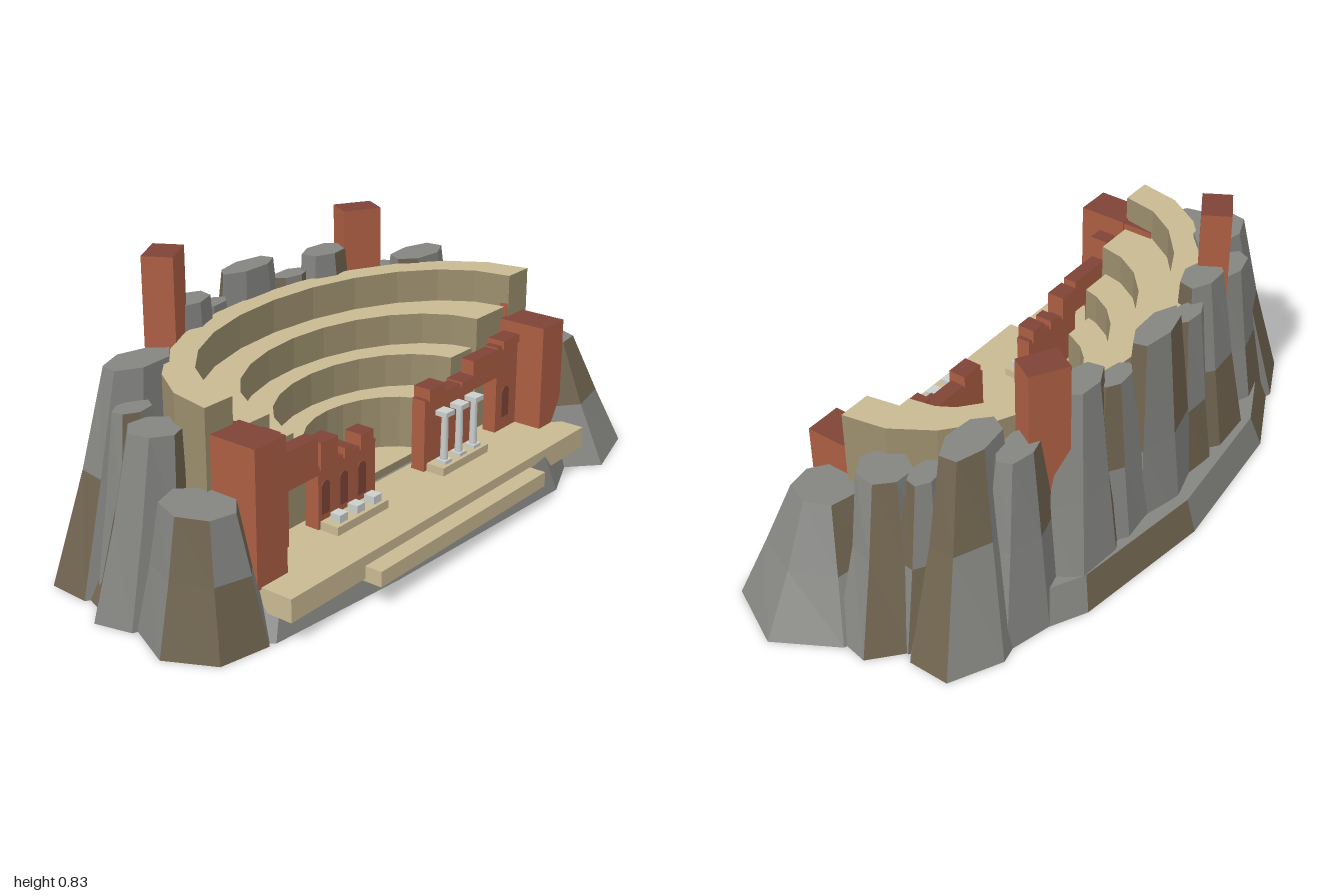
import * as THREE from 'three';

const mat = (name, color) => {
  const m = new THREE.MeshStandardMaterial({ color });
  m.name = name;
  return m;
};

export function createModel() {
  const group = new THREE.Group();
  const sand = mat('sandstone', 0xc9b993);
  const wallStone = mat('weathered sandstone', 0x9b8e6d);
  const brick = mat('brick', 0xac5e43);
  const darkBrick = mat('dark brick', 0x7f4437);
  const grey = mat('grey rock', 0x848481);
  const brown = mat('brown rock', 0x70644f);
  const marble = mat('marble', 0xcbcfcc);
  const brickwork = [brick, brick, darkBrick, brick, brick, brick]; // dark upper face
  const CX = -0.05; // axis of the seating bowl

  let seed = 11;
  const rand = () => (seed = (seed * 16807) % 2147483647) / 2147483647;

  const add = (name, geometry, material) => {
    const mesh = new THREE.Mesh(geometry, material);
    mesh.name = name;
    group.add(mesh);
    return mesh;
  };
  // box given by its minimum and maximum corners
  const box = (name, m, x0, x1, y0, y1, z0, z1) => {
    const mesh = add(name, new THREE.BoxGeometry(x1 - x0, y1 - y0, z1 - z0), m);
    mesh.position.set((x0 + x1) / 2, (y0 + y1) / 2, (z0 + z1) / 2);
    return mesh;
  };

  // faceted loft through rings of points, with brown patches on its sides
  const loft = (name, rings) => {
    const pos = [];
    const geo = new THREE.BufferGeometry();
    const n = rings[0].length;
    const put = (material, ...pts) => {
      geo.addGroup(pos.length / 3, pts.length, material);
      pts.forEach((p) => pos.push(p.x, p.y, p.z));
    };
    for (let i = 0; i < rings.length - 1; i++) {
      for (let k = 0; k < n; k++) {
        const a = rings[i][k], b = rings[i][(k + 1) % n];
        const c = rings[i + 1][(k + 1) % n], d = rings[i + 1][k];
        put(rand() < 0.32 ? 1 : 0, a, d, c, a, c, b);
      }
    }
    const cap = (ring, top) => {
      const mid = ring.reduce((s, p) => s.add(p), new THREE.Vector3()).divideScalar(n);
      ring.forEach((p, k) => {
        const q = ring[(k + 1) % n];
        if (top) put(0, mid, q, p);
        else put(1, mid, p, q);
      });
    };
    cap(rings[0], false);
    cap(rings[rings.length - 1], true);
    geo.setAttribute('position', new THREE.Float32BufferAttribute(pos, 3));
    geo.computeVertexNormals();
    add(name, geo, [grey, brown]);
  };

  // tapered rock column: top centre, height, top radii, base centre, base radii;
  // the first corner points away from the bowl
  const rock = ([x, z, y, rx, rz, bx, bz, brx, brz]) => {
    const bend = 0.48 + rand() * 0.1;
    const start = Math.atan2(bz - 0.22, bx - CX);
    const rings = [[0, 0], [bend, bend + 0.05], [1, 1]].map(([h, t]) => Array.from({ length: 7 }, (_, k) => {
      const a = start + (k / 7) * Math.PI * 2;
      const j = k === 0 ? 1 : 0.92 + rand() * 0.14;
      const mix = (p, q) => p + (q - p) * t;
      return new THREE.Vector3(
        mix(bx, x) + Math.cos(a) * mix(brx, rx) * j, y * h,
        mix(bz, z) + Math.sin(a) * mix(brz, rz) * j);
    }));
    loft('rockColumn', rings);
  };

  // low rock base
  const outline = [[-0.05, -0.485], [0.4, -0.42], [0.73, -0.25], [0.85, 0], [0.82, 0.3],
    [0.45, 0.46], [-0.3, 0.43], [-0.75, 0.39], [-0.9, 0.2], [-0.92, -0.05], [-0.84, -0.28], [-0.51, -0.44]];
  loft('rockBase', [[1, 0], [0.94, 0.11]].map(([s, y]) =>
    outline.map(([x, z]) => new THREE.Vector3(x * s, y, z * s))));

  // rock columns around the back, repeated on both sides of the bowl
  rock([-0.045, -0.325, 0.675, 0.115, 0.045, -0.05, -0.335, 0.2, 0.1]);
  const sideRocks = [
    [0.13, -0.31, 0.61, 0.07, 0.035, 0.14, -0.33, 0.14, 0.095],
    [0.255, -0.28, 0.66, 0.085, 0.052, 0.3, -0.3, 0.18, 0.13],
    [0.47, -0.24, 0.56, 0.09, 0.05, 0.51, -0.25, 0.18, 0.12],
    [0.56, -0.155, 0.605, 0.11, 0.06, 0.65, -0.19, 0.21, 0.15],
    [0.66, -0.08, 0.52, 0.06, 0.04, 0.7, -0.08, 0.12, 0.1],
    [0.69, 0.03, 0.505, 0.075, 0.075, 0.735, 0.0, 0.17, 0.13],
  ];
  for (const r of sideRocks) {
    rock(r);
    rock(r.map((v, i) => (i === 0 ? 2 * CX - v : i === 5 ? -0.07 - v : v)));
  }
  rock([0.72, 0.225, 0.365, 0.085, 0.09, 0.75, 0.22, 0.25, 0.25]);
  rock([-0.83, 0.22, 0.365, 0.09, 0.11, -0.81, 0.22, 0.18, 0.18]);

  // stepped half-elliptical seating: radii, top, front end
  const tiers = [[0.72, 0.47, 0.59, 0.187], [0.62, 0.4, 0.49, 0.175], [0.47, 0.325, 0.395, 0.16],
    [0.36, 0.26, 0.295, 0.147], [0.25, 0.2, 0.135, 0.14]];
  const SEG = 12;
  const arc = ([rx, rz], endZ) => Array.from({ length: SEG + 1 }, (_, i) => {
    const a = (i / SEG) * Math.PI;
    return new THREE.Vector2(CX + Math.cos(a) * rx, i % SEG ? Math.sin(a) * rz - 0.18 : -endZ);
  });
  tiers.forEach((t, i) => {
    const pts = arc(t, t[3]);
    if (i < tiers.length - 1) pts.push(...arc(tiers[i + 1], t[3]).reverse());
    const geo = new THREE.ExtrudeGeometry(new THREE.Shape(pts), { depth: t[2] - 0.05, bevelEnabled: false });
    geo.rotateX(-Math.PI / 2).translate(0, 0.05, 0);
    add(i < 4 ? 'seatingTier' : 'orchestraFloor', geo, [sand, wallStone]);
  });

  // stage and front step
  box('stage', sand, -0.74, 0.635, 0.068, 0.135, 0.18, 0.432);
  box('stageStep', sand, -0.445, 0.34, 0.06, 0.105, 0.4, 0.485);

  // lookout towers on the rim
  for (const [x, top, turn] of [[-0.455, 0.83, 1], [0.375, 0.775, -1]]) {
    const tower = box('rimTower', brickwork, -0.06, 0.06, 0.35, top, -0.044, 0.044);
    tower.position.x = x;
    tower.position.z = turn > 0 ? -0.256 : -0.249;
    tower.rotation.y = turn * Math.PI / 6;
  }

  // stage-end towers with short return walls
  box('leftEndTower', brickwork, -0.755, -0.64, 0.13, 0.515, 0.18, 0.335);
  box('rightEndTower', brickwork, 0.54, 0.652, 0.13, 0.46, 0.18, 0.335);
  box('returnWall', brickwork, -0.69, -0.645, 0.13, 0.51, 0.08, 0.185);
  box('returnWall', brickwork, 0.565, 0.592, 0.13, 0.5, 0.09, 0.185);

  // ruined stage wall: x0, x1, bottom, top
  const wall = [[-0.64, -0.53, 0.13, 0.405], [-0.53, -0.41, 0.295, 0.405], [-0.41, -0.165, 0.13, 0.32],
    [0.065, 0.305, 0.13, 0.355], [0.305, 0.43, 0.315, 0.405], [0.43, 0.54, 0.13, 0.41]];
  for (const [x0, x1, y0, y1] of wall) box('stageWall', brickwork, x0, x1, y0, y1, 0.2, 0.245);
  const merlons = [[-0.64, -0.615, 0.4, 0.44], [-0.615, -0.565, 0.4, 0.475], [-0.405, -0.335, 0.31, 0.388],
    [-0.305, -0.27, 0.31, 0.34], [-0.235, -0.18, 0.31, 0.355], [0.08, 0.155, 0.35, 0.387],
    [0.24, 0.31, 0.345, 0.36], [0.455, 0.54, 0.4, 0.425]];
  for (const [x0, x1, y0, y1] of merlons) box('merlon', brickwork, x0, x1, y0, y1, 0.194, 0.251);

  // arched niches
  for (const [x, w] of [[-0.585, 0.042], [-0.38, 0.034], [-0.303, 0.034], [-0.225, 0.034], [0.48, 0.036]]) {
    const s = new THREE.Shape();
    s.moveTo(-w / 2, 0).lineTo(w / 2, 0).lineTo(w / 2, 0.08);
    s.absarc(0, 0.08, w / 2, 0, Math.PI, false);
    const arch = add('niche', new THREE.ExtrudeGeometry(s, { depth: 0.004, bevelEnabled: false, curveSegments: 6 }), darkBrick);
    arch.position.set(x, 0.175, 0.243);
  }

  // pedestals with broken stubs on one side and standing columns on the other
  box('pedestal', sand, -0.405, -0.185, 0.13, 0.16, 0.248, 0.308);
  box('pedestal', sand, 0.075, 0.3, 0.13, 0.16, 0.248, 0.308);
  for (let i = 0; i < 3; i++) {
    const xs = -0.365 + i * 0.073, xc = 0.115 + i * 0.073;
    box('columnStub', marble, xs - 0.017, xs + 0.017, 0.16, 0.183, 0.263, 0.297);
    box('columnBase', marble, xc - 0.017, xc + 0.017, 0.16, 0.17, 0.263, 0.297);
    box('columnCapital', marble, xc - 0.02, xc + 0.02, 0.307, 0.322, 0.26, 0.3);
    const shaft = add('columnShaft', new THREE.CylinderGeometry(0.01, 0.012, 0.14, 8), marble);
    shaft.position.set(xc, 0.239, 0.28);
  }
  return group;
}
